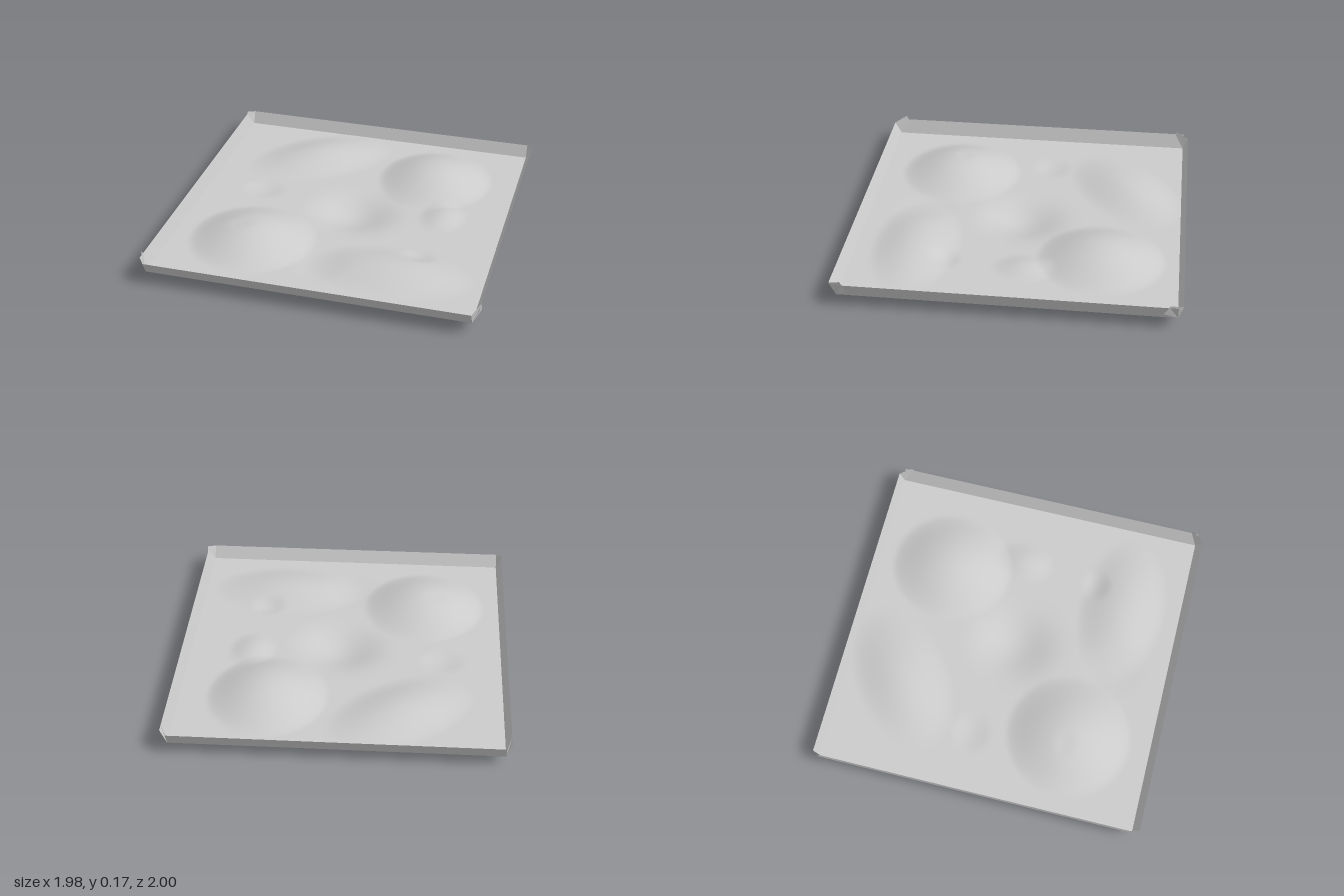
import * as THREE from 'three';

const BASE = 0.06;
const X0 = -0.96, X1 = 0.95, Z0 = -0.97, Z1 = 0.96;

// Sculpted marks: centre x, z, radii, turn, height, falloff power
const MARKS = [
  { x: -0.48, z: 0.46, rx: 0.38, rz: 0.38, turn: 0, h: 0.1, p: 1.5 },
  { x: 0.43, z: -0.51, rx: 0.36, rz: 0.38, turn: 0, h: 0.1, p: 1.5 },
  { x: -0.36, z: -0.62, rx: 0.5, rz: 0.29, turn: 0.62, h: 0.055, p: 2 },
  { x: 0.4, z: 0.6, rx: 0.5, rz: 0.27, turn: 0, h: 0.05, p: 1.8 },
  { x: 0.57, z: -0.07, rx: 0.15, rz: 0.19, turn: 0, h: 0.025, p: 2 },
  { x: 0.52, z: 0.41, rx: 0.12, rz: 0.1, turn: 0, h: -0.014, p: 2 },
  { x: -0.55, z: 0.45, rx: 0.1, rz: 0.08, turn: 0, h: -0.005, p: 2 },
  { x: -0.6, z: -0.12, rx: 0.15, rz: 0.13, turn: 0, h: -0.012, p: 2 },
  { x: 0.0, z: 0.62, rx: 0.2, rz: 0.22, turn: 0, h: -0.008, p: 2 },
  { x: 0.03, z: 0, rx: 0.4, rz: 0.4, turn: 0, h: -0.06, p: 4 },
];

function heightAt(x, z) {
  let y = BASE;
  for (const m of MARKS) {
    const dx = x - m.x, dz = z - m.z;
    const c = Math.cos(m.turn), s = Math.sin(m.turn);
    const u = (dx * c - dz * s) / m.rx, v = (dx * s + dz * c) / m.rz;
    const t = u * u + v * v;
    if (t < 1) y += m.h * (1 - t) ** m.p;
  }
  return Math.max(y, 0);
}

// Flat four-cornered sheet
function sheet(name, a, b, c, d, material) {
  const geometry = new THREE.BufferGeometry();
  geometry.setAttribute('position', new THREE.Float32BufferAttribute([...a, ...b, ...c, ...d], 3));
  geometry.setIndex([0, 1, 2, 0, 2, 3]);
  geometry.computeVertexNormals();
  const mesh = new THREE.Mesh(geometry, material);
  mesh.name = name;
  return mesh;
}

export function createModel() {
  const group = new THREE.Group();
  group.name = 'terrainTray';
  const material = new THREE.MeshStandardMaterial({ color: 0xcccccc, side: THREE.DoubleSide });

  // Ground with mounds, ridges and hollows
  const ground = new THREE.PlaneGeometry(X1 - X0, Z1 - Z0, 110, 110);
  ground.rotateX(-Math.PI / 2);
  ground.translate((X0 + X1) / 2, 0, (Z0 + Z1) / 2);
  const pos = ground.attributes.position;
  for (let i = 0; i < pos.count; i++) pos.setY(i, heightAt(pos.getX(i), pos.getZ(i)));
  ground.computeVertexNormals();
  const groundMesh = new THREE.Mesh(ground, material);
  groundMesh.name = 'ground';
  group.add(groundMesh);

  // Side walls leaning outward
  for (const [name, x, top] of [['leftWall', X1, 0.987], ['rightWall', X0, -0.99]]) {
    const low = [[x, BASE, Z1], [x, BASE, Z0]];
    const high = [[top, 0.15, Z0], [top, 0.15, Z1]];
    if (x < 0) group.add(sheet(name, low[1], low[0], high[1], high[0], material));
    else group.add(sheet(name, ...low, ...high, material));
  }

  // Front and back walls, each with a folded tab at both ends
  for (const [name, z, top, s] of [['frontWall', Z1, 1, 1], ['backWall', Z0, -1, -1]]) {
    const y = 0.137;
    const ends = s > 0 ? [X0, X1] : [X1, X0];
    group.add(sheet(name, [ends[0], BASE, z], [ends[1], BASE, z], [ends[1], y, top], [ends[0], y, top], material));
    for (const [x, out] of [[X1, 0.99], [X0, -0.99]]) {
      const a = [x, BASE, z], b = [x, y, top];
      const c = [out, s > 0 ? 0.175 : 0.165, s * 0.925], d = [out, 0.11, s * 0.89];
      const corners = (x > 0) === (s > 0) ? [a, d, c, b] : [a, b, c, d];
      group.add(sheet('cornerTab', ...corners, material));
    }
  }
  return group;
}
